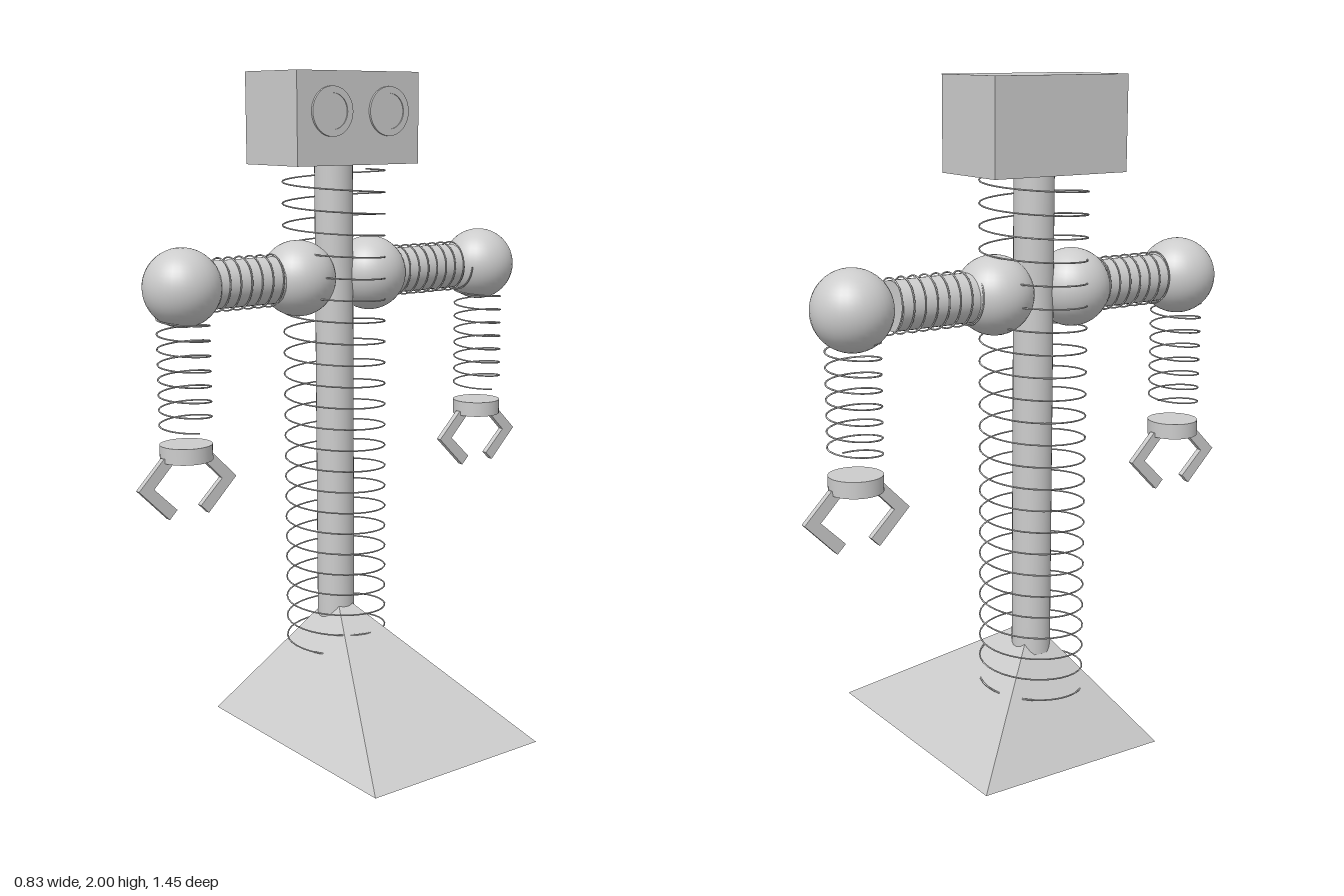
import * as THREE from 'three';

const grey = new THREE.MeshStandardMaterial({ color: 0xcccccc });
grey.name = 'grey';

const CX = -0.184; // upright axis of the body
const CZ = 0.026;
const ARM_Y = 1.395;

function add(parent, name, geometry, x = 0, y = 0, z = 0) {
  const mesh = new THREE.Mesh(geometry, grey);
  mesh.name = name;
  mesh.position.set(x, y, z);
  parent.add(mesh);
  return mesh;
}

// Wire coil around the y axis, from y = 0 up to height
function coil(radius, height, turns, wire) {
  const points = [];
  const n = Math.round(turns * 16);
  for (let i = 0; i <= n; i++) {
    const a = (i / 16) * Math.PI * 2;
    points.push(new THREE.Vector3(Math.cos(a) * radius, (height * i) / n, Math.sin(a) * radius));
  }
  return new THREE.TubeGeometry(new THREE.CatmullRomCurve3(points), n * 2, wire, 5);
}

// Four-sided base with its apex under the column
function baseGeometry() {
  const g = new THREE.ConeGeometry(Math.SQRT1_2, 0.39, 4).toNonIndexed();
  g.rotateY(Math.PI / 4);
  g.scale(0.83, 1, 0.62);
  g.translate(0, 0.195, 0.023);
  const p = g.attributes.position;
  for (let i = 0; i < p.count; i++) if (p.getY(i) > 0.3) p.setXYZ(i, CX, 0.39, CZ);
  g.computeVertexNormals();
  return g;
}

// Bent finger drawn in the z-y plane; side mirrors it
function fingerGeometry(side) {
  const outline = [[0.08, -0.01], [0.163, -0.094], [0.066, -0.192], [0.04, -0.166], [0.114, -0.094], [0.032, -0.01]];
  const shape = new THREE.Shape(outline.map(([u, v]) => new THREE.Vector2(u * side, v)));
  const g = new THREE.ExtrudeGeometry(shape, { depth: 0.018, bevelEnabled: false });
  g.translate(0, 0, -0.009);
  g.rotateY(Math.PI / 2);
  return g;
}

function eye(z) {
  const group = new THREE.Group();
  group.name = 'eye';
  const shape = new THREE.Shape().absarc(0, 0, 0.072, 0, Math.PI * 2);
  shape.holes.push(new THREE.Path().absarc(0, 0, 0.052, 0, Math.PI * 2, true));
  const ring = new THREE.ExtrudeGeometry(shape, { depth: 0.007, bevelEnabled: false, curveSegments: 32 });
  add(group, 'eyeRing', ring.rotateY(Math.PI / 2));
  add(group, 'eyeLens', new THREE.CylinderGeometry(0.053, 0.053, 0.004, 32).rotateZ(-Math.PI / 2), 0.002);
  group.position.set(-0.053, 1.885, z);
  return group;
}

// Arm reaching along z in the given direction
function arm(dir) {
  const group = new THREE.Group();
  group.name = dir > 0 ? 'frontArm' : 'backArm';
  const ball = new THREE.SphereGeometry(0.114, 32, 24);
  const shoulderZ = CZ + dir * 0.134;
  const elbowZ = dir * 0.56;
  add(group, 'shoulder', ball, CX, ARM_Y, shoulderZ);
  add(group, 'elbow', ball, CX, ARM_Y, elbowZ);
  const upper = new THREE.CylinderGeometry(0.07, 0.07, 0.333, 32).rotateX(Math.PI / 2);
  add(group, 'upperArm', upper, CX, ARM_Y, shoulderZ + dir * 0.167);
  const wrap = coil(0.077, 0.33, 9, 0.0025).rotateX((dir * Math.PI) / 2);
  add(group, 'upperArmSpring', wrap, CX, ARM_Y, shoulderZ + dir * 0.03);
  add(group, 'forearmSpring', coil(0.076, 0.33, 7.5, 0.0025), CX, 0.985, elbowZ);

  // Hand with two mirrored fingers
  const hand = new THREE.Group();
  hand.name = 'hand';
  hand.position.set(CX, 0.919, elbowZ);
  add(hand, 'wrist', new THREE.CylinderGeometry(0.077, 0.077, 0.047, 32));
  for (const side of [-1, 1]) add(hand, 'finger', fingerGeometry(side));
  group.add(hand);
  return group;
}

export function createModel() {
  const model = new THREE.Group();
  model.name = 'robot';
  add(model, 'base', baseGeometry());
  add(model, 'column', new THREE.CylinderGeometry(0.058, 0.058, 1.45, 32), CX, 1.025, CZ);
  add(model, 'columnSpring', coil(0.155, 1.56, 24, 0.0025), CX, 0.16, CZ);
  add(model, 'head', new THREE.BoxGeometry(0.265, 0.27, 0.444), -0.1855, 1.865, 0.027);
  for (const z of [0.127, -0.08]) model.add(eye(z));
  for (const dir of [1, -1]) model.add(arm(dir));
  return model;
}
